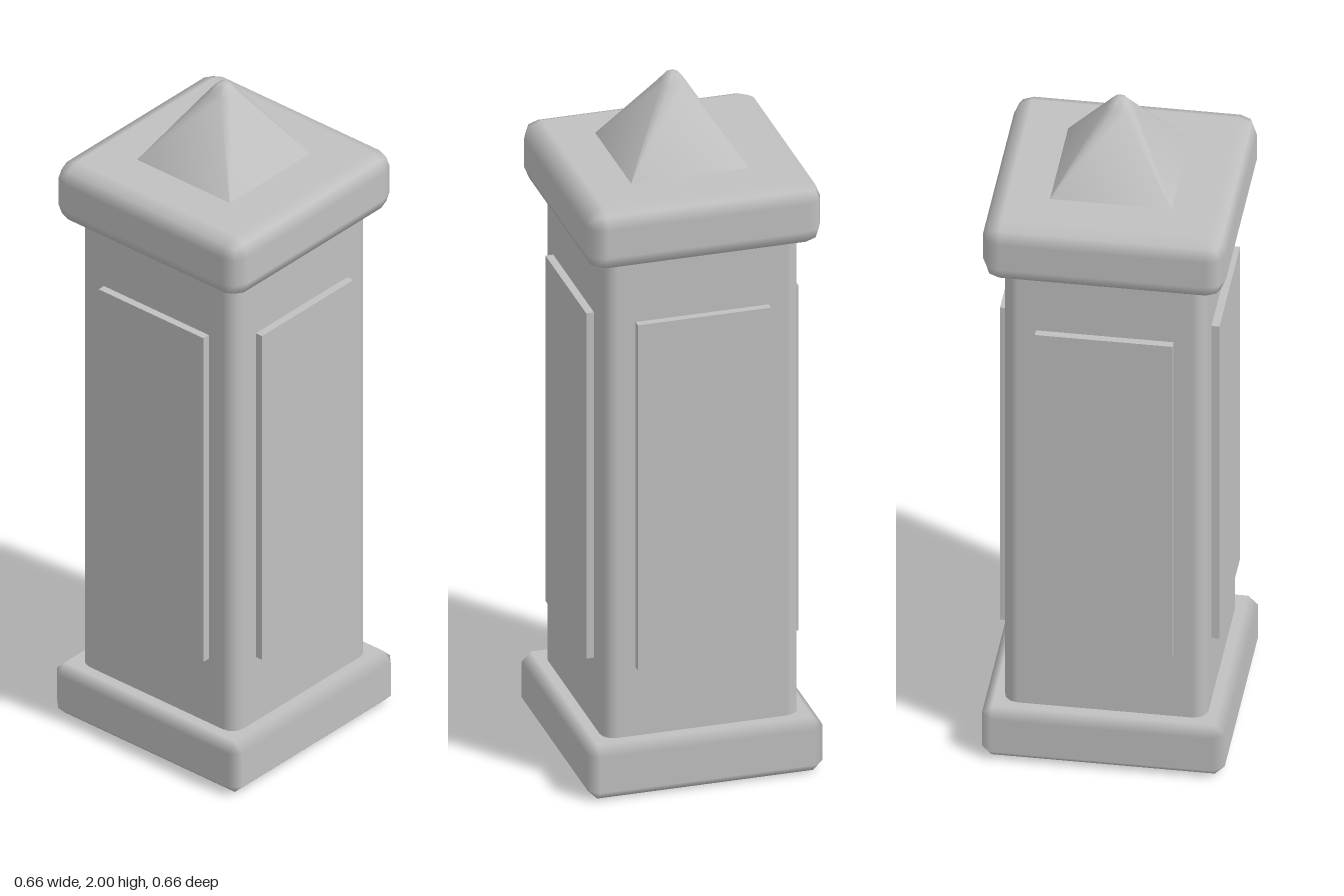
import * as THREE from 'three';
import { toCreasedNormals } from 'three/addons/utils/BufferGeometryUtils.js';
import { RoundedBoxGeometry } from 'three/addons/geometries/RoundedBoxGeometry.js';
import { ConvexGeometry } from 'three/addons/geometries/ConvexGeometry.js';

// Box with single-step chamfers, shaded as soft edges around flat faces
function chamferBox(w, h, d, c) {
  const half = [w / 2, h / 2, d / 2];
  const points = [];
  for (let axis = 0; axis < 3; axis++) {
    for (let i = 0; i < 8; i++) {
      const p = half.map((v, k) => (i >> k & 1 ? 1 : -1) * (k === axis ? v : v - c));
      points.push(new THREE.Vector3(...p));
    }
  }
  const geometry = new ConvexGeometry(points);
  const pos = geometry.attributes.position;
  for (let i = 0; i < pos.count; i++) {
    const p = [pos.getX(i), pos.getY(i), pos.getZ(i)];
    const n = p.map((v, k) => (Math.abs(v) > half[k] - c / 2 ? Math.sign(v) : 0));
    geometry.attributes.normal.setXYZ(i, ...n);
  }
  return geometry;
}

// Pyramid lofted through square rings whose corners soften toward the tip
function finialGeometry() {
  const rings = [[0.17, 0, 1.755], [0.035, 0.018, 1.972], [0.017, 0.009, 1.995], [0, 0, 2]];
  const positions = [];
  const index = [];
  for (const [h, cut, y] of rings) {
    const s = h - cut;
    for (const [x, z] of [[h, s], [s, h], [-s, h], [-h, s], [-h, -s], [-s, -h], [s, -h], [h, -s]]) {
      positions.push(x, y, z);
    }
  }
  for (let r = 0; r < rings.length - 1; r++) {
    for (let i = 0; i < 8; i++) {
      const j = (i + 1) % 8;
      const a = r * 8 + i, b = r * 8 + j, c = a + 8, d = b + 8;
      // corner strips start from a single point, the tip ends in one
      if (r > 0 || i % 2 === 1) index.push(a, c, b);
      if (r < rings.length - 2) index.push(b, c, d);
    }
  }
  const geometry = new THREE.BufferGeometry();
  geometry.setAttribute('position', new THREE.Float32BufferAttribute(positions, 3));
  geometry.setIndex(index);
  return toCreasedNormals(geometry, 0.8);
}

export function createModel() {
  const group = new THREE.Group();
  group.name = 'stonePillar';
  const stone = new THREE.MeshStandardMaterial({ color: 0xc0c0c0 });
  stone.name = 'stone';

  const add = (name, geometry, y = 0) => {
    const mesh = new THREE.Mesh(geometry, stone);
    mesh.name = name;
    mesh.position.y = y;
    group.add(mesh);
    return mesh;
  };

  // Plinth, shaft and cap; the shaft's ends are buried in the other two
  add('base', chamferBox(0.664, 0.16, 0.664, 0.027), 0.08);
  add('shaft', new RoundedBoxGeometry(0.556, 1.6, 0.556, 2, 0.04), 0.88);
  add('cap', new RoundedBoxGeometry(0.664, 0.182, 0.664, 1, 0.05), 1.67);
  add('finial', finialGeometry());

  // One raised panel on each side
  ['front', 'left', 'back', 'right'].forEach((side, i) => {
    const geometry = new THREE.BoxGeometry(0.376, 1.036, 0.05).translate(0, 0, 0.275);
    add(side + 'Panel', geometry, 0.883).rotation.y = i * Math.PI / 2;
  });

  return group;
}
